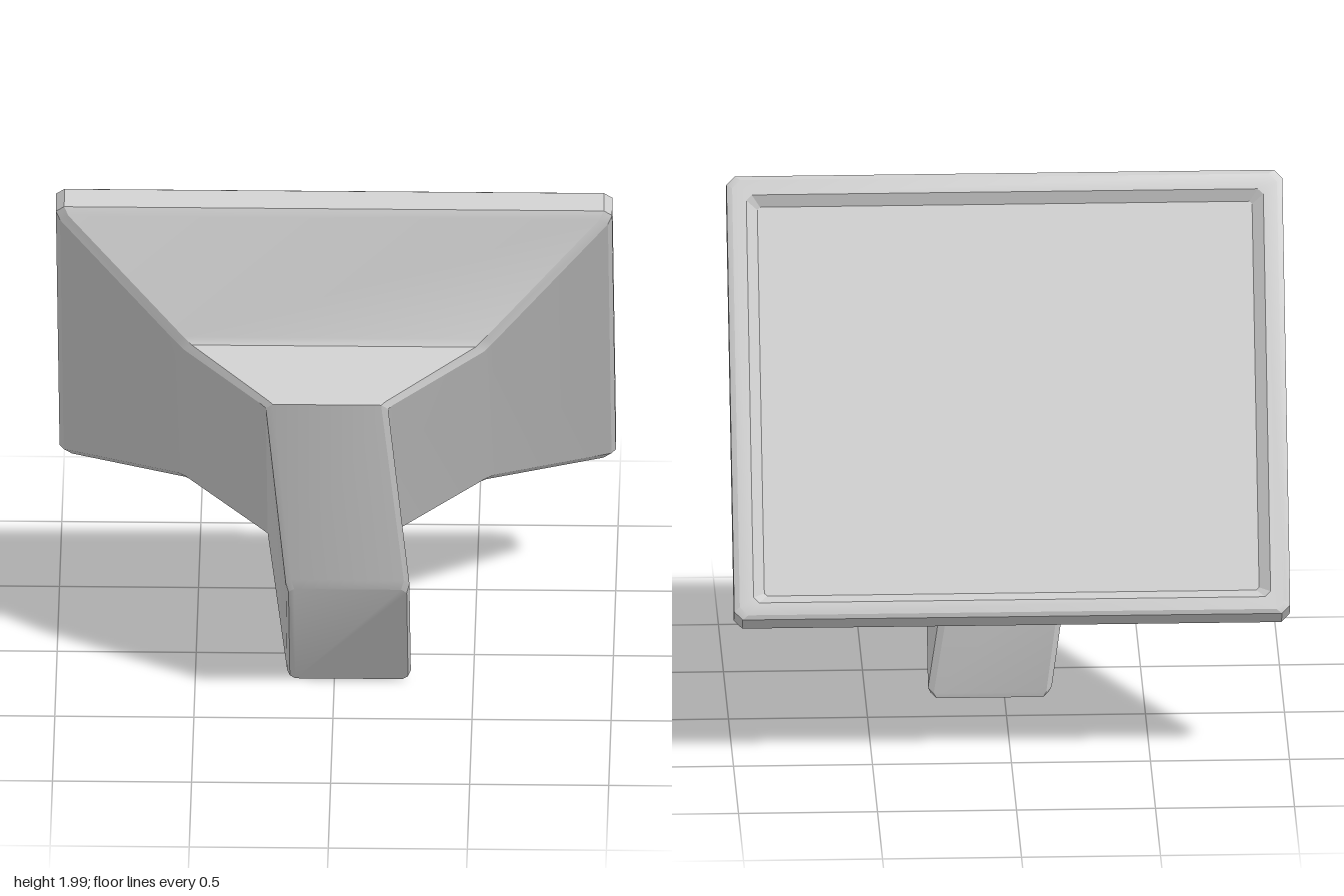
import * as THREE from 'three';
import { toCreasedNormals } from 'three/addons/utils/BufferGeometryUtils.js';

// Cross-sections parallel to the tilted panel:
// [offset along panel normal, top, bottom, x min, x max, corner chamfer]
const panelEdge = [-0.03, 0.70, -0.72, -0.89, 0.89, 0.01];
const mouth = [-0.675, 0.424, -0.472, -0.24, 0.20, 0.025];
const body = [
  panelEdge,
  [0, 0.74, -0.75, -0.93, 0.93, 0.02],
  [0, 0.795, -0.795, -0.98, 0.98, 0.03],
  [-0.01, 0.81, -0.81, -1, 1, 0.03],
  [-0.085, 0.81, -0.828, -1, 1, 0.03],
  [-0.11, 0.79, -0.815, -0.985, 0.985, 0.03],
  [-0.385, 0.415, -0.53, -0.57, 0.57, 0.03],
  [-0.41, 0.40, -0.515, -0.54, 0.54, 0.03],
  [-0.66, 0.424, -0.475, -0.255, 0.215, 0.025],
  mouth,
];
const stalk = [
  mouth,
  [-0.97, -0.29, -0.915, -0.17, 0.275, 0.02],
  [-0.985, -0.328, -0.93, -0.16, 0.265, 0.02],
];

// Chamfered rectangle placed in the tilted frame
function ringPoints([d, top, bottom, x0, x1, c]) {
  return [
    [x0 + c, bottom], [x1 - c, bottom], [x1, bottom + c], [x1, top - c],
    [x1 - c, top], [x0 + c, top], [x0, top - c], [x0, bottom + c],
  ].map(([x, u]) => [x, 1.30 + 0.866 * u + 0.5 * d, -0.195 + 0.5 * u - 0.866 * d]);
}

// Skin between successive rings, with optional flat caps
function loft(name, sections, { startCap = false, endCap = false, skin = true } = {}) {
  const rings = sections.map(ringPoints);
  const n = 8;
  const pos = [];
  const tri = (a, b, c) => pos.push(...a, ...b, ...c);
  if (skin) {
    for (let i = 0; i < rings.length - 1; i++) {
      for (let j = 0; j < n; j++) {
        const k = (j + 1) % n;
        tri(rings[i][j], rings[i][k], rings[i + 1][k]);
        tri(rings[i][j], rings[i + 1][k], rings[i + 1][j]);
      }
    }
  }
  const first = rings[0], last = rings[rings.length - 1];
  for (let j = 1; j < n - 1; j++) {
    if (startCap) tri(first[0], first[j + 1], first[j]);
    if (endCap) tri(last[0], last[j], last[j + 1]);
  }
  const geometry = new THREE.BufferGeometry();
  geometry.setAttribute('position', new THREE.Float32BufferAttribute(pos, 3));
  const mesh = new THREE.Mesh(
    toCreasedNormals(geometry, 0.4),
    new THREE.MeshStandardMaterial({ color: 0xcccccc }),
  );
  mesh.name = name;
  return mesh;
}

export function createModel() {
  const group = new THREE.Group();
  group.name = 'tiltedPanelOnStalk';
  group.add(
    loft('housing', body),
    loft('recessedPanel', [panelEdge], { startCap: true, skin: false }),
    loft('stalk', stalk, { endCap: true }),
  );
  return group;
}
